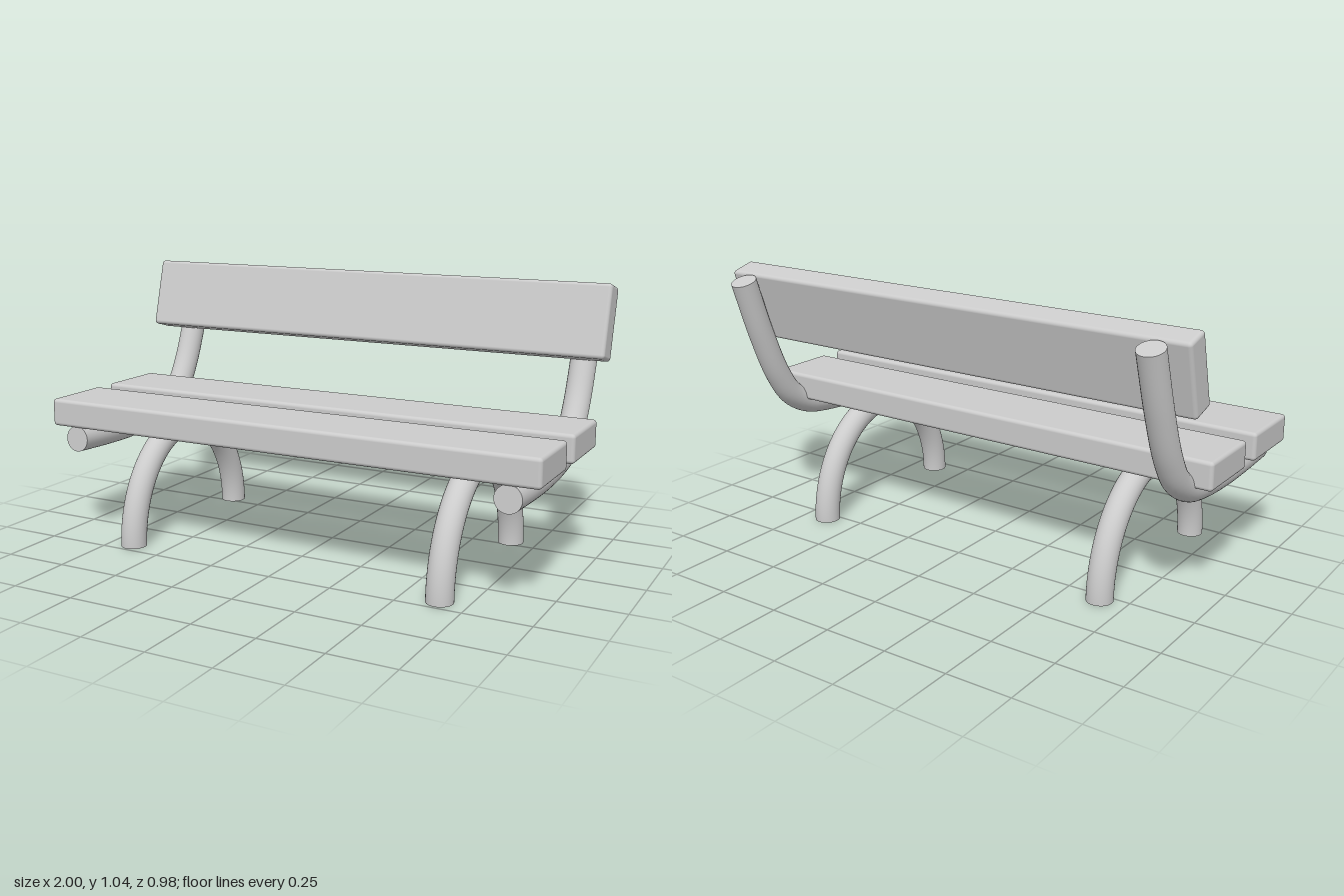
import * as THREE from 'three';
import { RoundedBoxGeometry } from 'three/addons/geometries/RoundedBoxGeometry.js';

const material = new THREE.MeshStandardMaterial({ color: 0xcccccc });
const PIPE_RADIUS = 0.05;

// Round pipe along a curve, closed with a flat disc at each end
function pipe(name, curve, x) {
  const group = new THREE.Group();
  group.name = name;
  group.add(new THREE.Mesh(new THREE.TubeGeometry(curve, 48, PIPE_RADIUS, 32), material));
  for (const t of [0, 1]) {
    const cap = new THREE.Mesh(new THREE.CircleGeometry(PIPE_RADIUS, 32), material);
    const outward = curve.getTangentAt(t).multiplyScalar(t ? 1 : -1);
    cap.position.copy(curve.getPointAt(t));
    cap.quaternion.setFromUnitVectors(new THREE.Vector3(0, 0, 1), outward);
    cap.name = name + 'End';
    group.add(cap);
  }
  group.position.x = x;
  return group;
}

// Full-width plank with softened edges
function plank(name, height, depth, y, z, tilt = 0) {
  const mesh = new THREE.Mesh(new RoundedBoxGeometry(2, height, depth, 4, 0.014), material);
  mesh.name = name;
  mesh.position.set(0, y, z);
  mesh.rotation.x = tilt;
  return mesh;
}

// Half-ellipse arch standing on the ground
class ArchCurve extends THREE.Curve {
  getPoint(t, target = new THREE.Vector3()) {
    const a = t * Math.PI;
    return target.set(0, 0.42 * Math.sin(a), 0.078 + 0.363 * Math.cos(a));
  }
}

export function createModel() {
  const bench = new THREE.Group();
  bench.name = 'bench';

  // Seat and backrest planks
  bench.add(plank('frontSeatPlank', 0.107, 0.282, 0.504, 0.33));
  bench.add(plank('rearSeatPlank', 0.107, 0.282, 0.504, -0.031));
  bench.add(plank('backrestPlank', 0.28, 0.105, 0.893, -0.304, -0.265));

  // Side rails run under the seat and bend up behind the backrest
  const railPath = new THREE.CatmullRomCurve3([
    [0.465, 0.406], [0.3, 0.398], [0.15, 0.396], [0, 0.405], [-0.12, 0.428],
    [-0.215, 0.485], [-0.285, 0.585], [-0.36, 0.76], [-0.44, 0.995],
  ].map(([z, y]) => new THREE.Vector3(0, y, z)));

  for (const [side, sign] of [['left', 1], ['right', -1]]) {
    bench.add(pipe(side + 'Rail', railPath, sign * 0.888));
    bench.add(pipe(side + 'LegArch', new ArchCurve(), sign * 0.647));
  }
  return bench;
}
